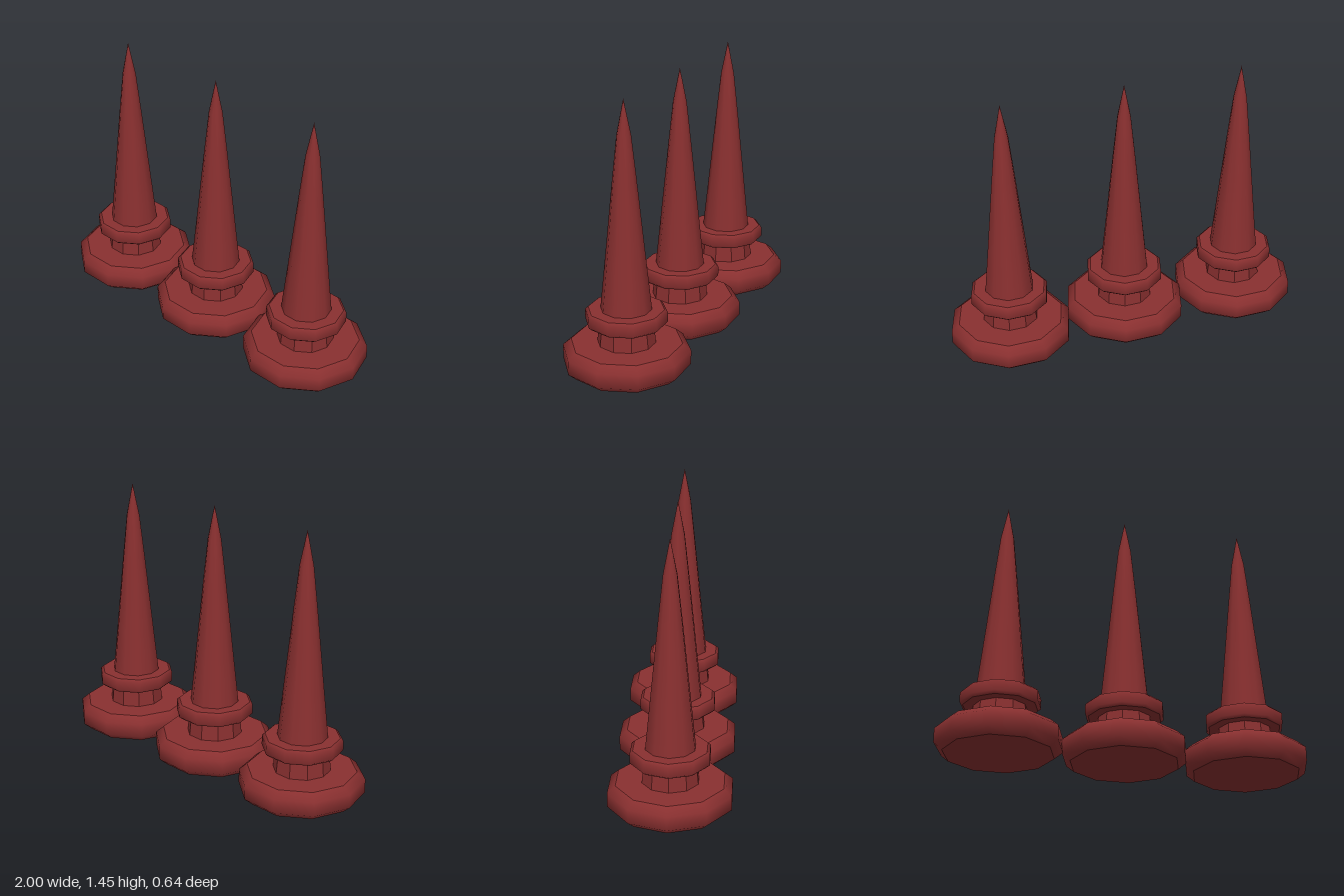
import * as THREE from 'three';

const SIDES = 10;

// Ten-sided turned surface with a corner pointing along +x
function turned(profile, faceted = false) {
  const points = profile.map(([r, y]) => new THREE.Vector2(r, y));
  let geometry = new THREE.LatheGeometry(points, SIDES, Math.PI / 2);
  if (faceted) {
    geometry = geometry.toNonIndexed();
    geometry.computeVertexNormals();
  }
  return geometry;
}

function addMesh(parent, name, geometry, material) {
  const mesh = new THREE.Mesh(geometry, material);
  mesh.name = name;
  parent.add(mesh);
}

// Chamfered disc: smooth rim closed by flat top and bottom faces
function addDisc(parent, name, radius, y0, y1, inset, drop, material) {
  const disc = new THREE.Group();
  disc.name = name;
  const inner = radius - inset;
  addMesh(disc, name + 'Rim', turned([
    [inner, y0], [radius, y0 + drop], [radius, y1 - drop], [inner, y1],
  ]), material);
  addMesh(disc, name + 'Top', turned([[inner, y1], [0, y1]]), material);
  addMesh(disc, name + 'Bottom', turned([[0, y0], [inner, y0]]), material);
  parent.add(disc);
}

export function createModel() {
  const model = new THREE.Group();
  model.name = 'spikeRow';

  const darkRed = new THREE.MeshStandardMaterial({ color: 0x8a3030 });
  darkRed.name = 'darkRed';

  // Three identical spikes, bases touching
  [-0.667, -0.003, 0.663].forEach((x, i) => {
    const spike = new THREE.Group();
    spike.name = 'spike' + (i + 1);
    spike.position.x = x;

    addDisc(spike, 'base', 0.335, 0, 0.15, 0.044, 0.037, darkRed);
    addMesh(spike, 'neck', turned([[0.153, 0.145], [0.142, 0.26]], true), darkRed);
    addDisc(spike, 'collar', 0.214, 0.255, 0.335, 0.016, 0.014, darkRed);
    // Long taper that sharpens near the tip
    addMesh(spike, 'shaft', turned([
      [0.134, 0.33], [0.106, 0.6], [0.063, 1.02], [0.037, 1.26], [0, 1.445],
    ]), darkRed);

    model.add(spike);
  });

  return model;
}
